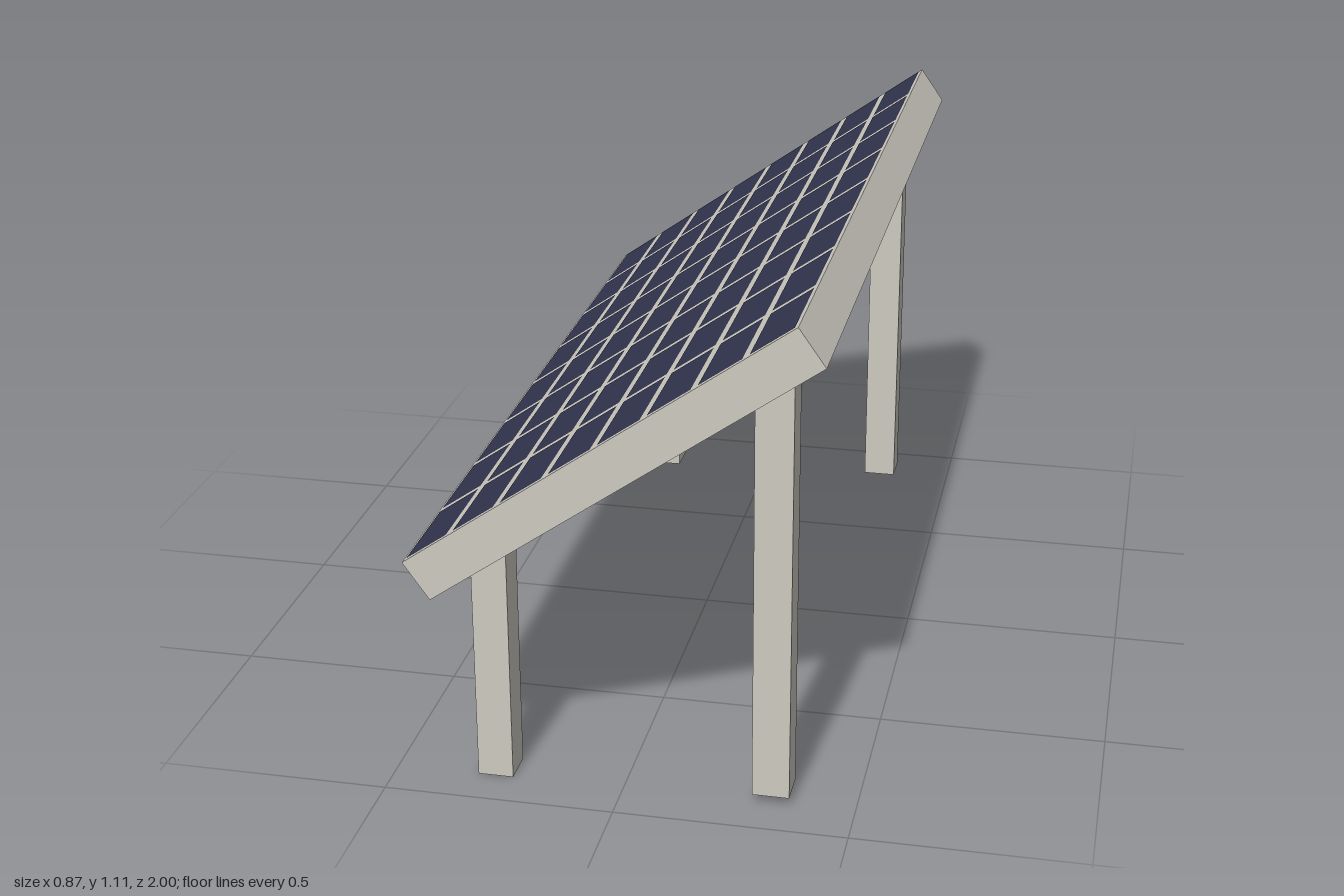
import * as THREE from 'three';

const LENGTH = 0.998, THICK = 0.098, WIDTH = 2;
const TILT = Math.atan2(0.575, 0.816);
const CENTER_Y = 0.7875;

const frameMat = new THREE.MeshStandardMaterial({ color: 0xcdcac0 });
const cellMat = new THREE.MeshStandardMaterial({ color: 0x33354f });

// Height of the sloping underside at a given x
const underside = (x) => CENTER_Y - THICK / 2 / Math.cos(TILT) + x * Math.tan(TILT);

// Square post whose top is cut to the slope of the panel
function makeLeg(name, x0, x1, bottom, z) {
  const shape = new THREE.Shape([
    new THREE.Vector2(x0, bottom),
    new THREE.Vector2(x1, bottom),
    new THREE.Vector2(x1, underside(x1)),
    new THREE.Vector2(x0, underside(x0)),
  ]);
  const depth = 0.08;
  const geometry = new THREE.ExtrudeGeometry(shape, { depth, bevelEnabled: false });
  const leg = new THREE.Mesh(geometry, frameMat);
  leg.name = name;
  leg.position.z = z - depth / 2;
  return leg;
}

// Tilted slab with an 8 by 8 grid of solar cells on its upper face
function makePanel() {
  const panel = new THREE.Group();
  panel.name = 'solarPanel';
  const slab = new THREE.Mesh(new THREE.BoxGeometry(LENGTH, THICK, WIDTH), frameMat);
  slab.name = 'panelFrame';
  panel.add(slab);

  const cells = new THREE.Group();
  cells.name = 'solarCells';
  const n = 8, gap = 0.018;
  const px = LENGTH / n, pz = WIDTH / n;
  const cellGeometry = new THREE.PlaneGeometry(px - gap, pz - gap).rotateX(-Math.PI / 2);
  for (let i = 0; i < n; i++) {
    for (let j = 0; j < n; j++) {
      const cell = new THREE.Mesh(cellGeometry, cellMat);
      cell.name = 'solarCell';
      cell.position.set((i + 0.5) * px - LENGTH / 2, THICK / 2 + 0.001, (j + 0.5) * pz - WIDTH / 2);
      cells.add(cell);
    }
  }
  panel.add(cells);
  panel.rotation.z = TILT;
  panel.position.y = CENTER_Y;
  return panel;
}

export function createModel() {
  const model = new THREE.Group();
  model.name = 'solarPanelStand';
  model.add(makePanel());
  // Short posts at the low edge, tall posts at the high edge
  for (const [side, z] of [['front', 0.865], ['back', -0.848]]) {
    model.add(makeLeg(side + 'ShortLeg', -0.32, -0.243, 0, z));
    model.add(makeLeg(side + 'TallLeg', 0.28, 0.36, 0.02, z));
  }
  return model;
}
